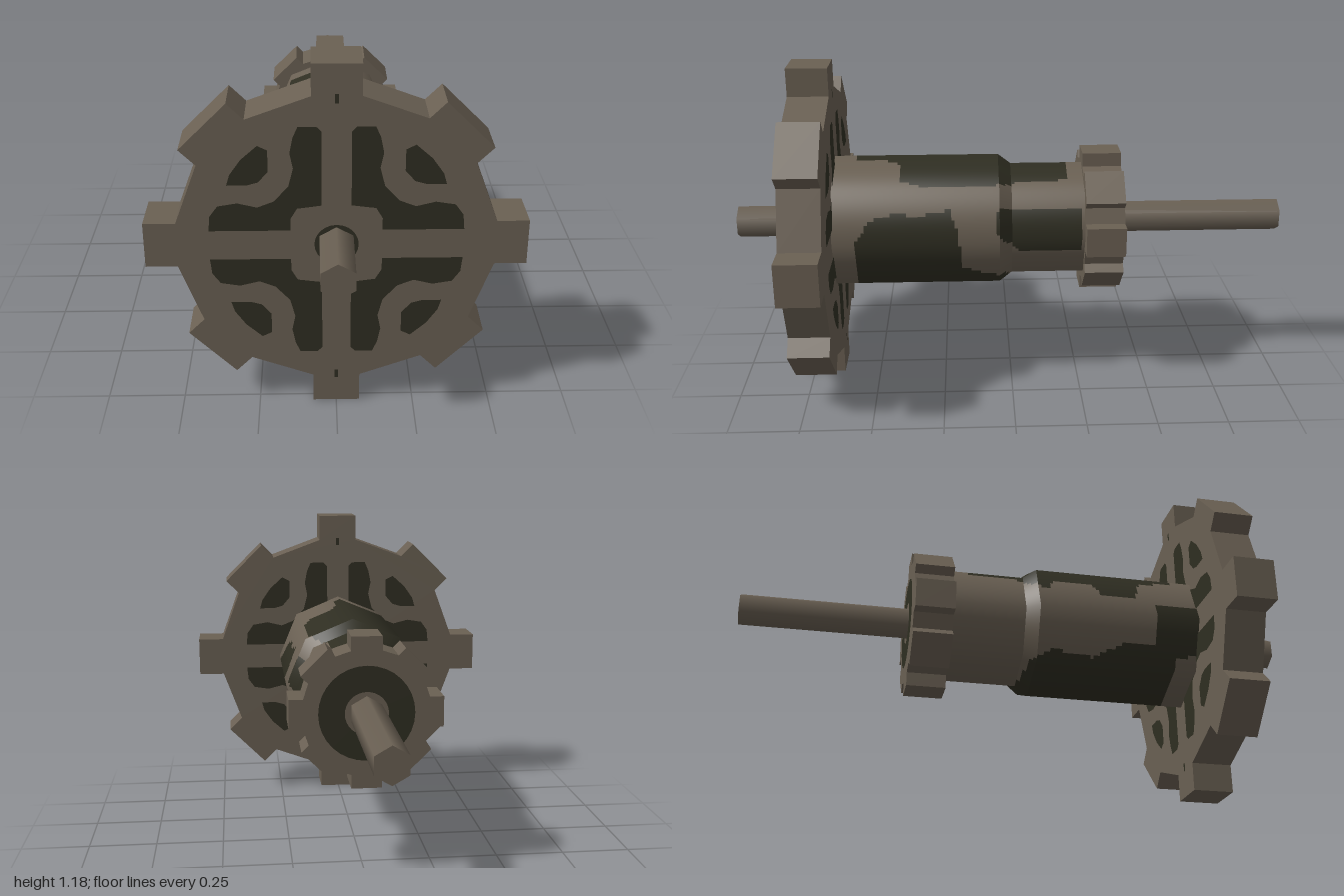
import * as THREE from 'three';

const CY = 0.59; // height of the axle
const brown = new THREE.MeshStandardMaterial({ color: 0x6a6053 });
brown.name = 'worn brown metal';
const dark = new THREE.MeshStandardMaterial({ color: 0x2f2e22 });
dark.name = 'dark green paint';

function add(group, name, geometry, material) {
  const mesh = new THREE.Mesh(geometry, material);
  mesh.name = name;
  group.add(mesh);
  return mesh;
}

// Eight-toothed outline; teeth alternate between two [root, tip, half width] sizes
function gear(straight, diagonal, depth) {
  const pts = [];
  for (let i = 0; i < 8; i++) {
    const [root, tip, w] = i % 2 ? diagonal : straight;
    const a = (i * Math.PI) / 4;
    for (const [r, s] of [[root, -w], [tip, -w], [tip, w], [root, w]]) {
      pts.push(new THREE.Vector2(r * Math.cos(a) - s * Math.sin(a), r * Math.sin(a) + s * Math.cos(a)));
    }
  }
  return new THREE.ExtrudeGeometry(new THREE.Shape(pts), { depth, bevelEnabled: false });
}

// Painted quarter of the large wheel: a bent arm and a wedge
const ARM = [[.045, .38], [.06, .395], [.115, .395], [.13, .36], [.14, .31], [.13, .26], [.145, .2],
  [.19, .15], [.24, .13], [.3, .145], [.36, .135], [.385, .1], [.39, .05], [.14, .05], [.14, .09],
  [.12, .125], [.045, .135]];
const WEDGE = [[.205, .32], [.235, .335], [.285, .29], [.32, .24], [.33, .205], [.27, .205],
  [.235, .215], [.205, .25]];

function wheelPaint() {
  const face = new THREE.Group();
  for (const sx of [1, -1]) for (const sy of [1, -1]) for (const outline of [ARM, WEDGE]) {
    const shape = new THREE.Shape(outline.map(([x, y]) => new THREE.Vector2(x * sx, y * sy)));
    add(face, outline === ARM ? 'paintedArm' : 'paintedWedge', new THREE.ShapeGeometry(shape), dark);
  }
  for (const s of [1, -1]) {
    add(face, 'paintedTick', new THREE.PlaneGeometry(.012, .03).translate(0, s * .483, 0), dark);
  }
  add(face, 'paintedHubRing', new THREE.RingGeometry(.04, .068, 24), dark);
  return face;
}

// Paint patches on the drum as [u, z]; u counts octagon corners from the top towards +x
const PATCHES = [
  // top
  [[-1.1, -.2], [.6, -.2], [.62, -.1], [.66, -.02], [.85, .03], [.96, .1], [.93, .25], [.96, .3],
    [.74, .4], [.28, .4], [.17, .45], [.11, .555], [-1.05, .555], [-1.15, .43], [-1.6, .4], [-1.6, .28],
    [-1.3, .25], [-1.3, .1], [-1.55, .08], [-1.2, 0], [-1.1, -.02]],
  // side and underside
  [[2, .56], [1.55, .5], [1.43, .4], [1.5, .35], [1.38, .22], [1.83, .19], [2.6, .18], [2.75, .11],
    [2.85, .03], [3.1, 0], [4, 0], [5, .03], [5.2, .1], [5.1, .25], [5.4, .35], [5.4, .48],
    [6.3, .48], [6.3, .64], [5.3, .64], [5.2, .56]],
  // narrow end
  [[1.4, .06], [1.34, -.08], [1.34, -.25], [2.33, -.25], [2.33, -.02], [2.13, 0], [1.87, .05]],
];

function inside(u, z, poly) {
  let hit = false;
  for (let i = 0, j = poly.length - 1; i < poly.length; j = i++) {
    const [a, b] = poly[i], [c, d] = poly[j];
    if ((b > z) !== (d > z) && u < ((c - a) * (z - b)) / (d - b) + a) hit = !hit;
  }
  return hit;
}
const isPainted = (u, z) => PATCHES.some((p) => inside(u, z, p) || inside(u - 8, z, p));

// Octagonal stepped drum, cut into small cells sorted by colour
function drum(group) {
  const profile = [[-.26, .215], [0, .215], [.045, .25], [.635, .25]];
  const data = { plain: { p: [], n: [] }, painted: { p: [], n: [] } };
  const perSide = 14;
  const corner = (i) => [Math.sin((i * Math.PI) / 4), Math.cos((i * Math.PI) / 4)];
  const around = (u) => {
    const i = Math.floor(u), f = u - i, a = corner(i), b = corner(i + 1);
    return [a[0] + (b[0] - a[0]) * f, a[1] + (b[1] - a[1]) * f];
  };
  for (let k = 0; k < 3; k++) {
    const [z0, r0] = profile[k], [z1, r1] = profile[k + 1];
    const rows = Math.ceil((z1 - z0) / .0115);
    const slope = -(r1 - r0) / (z1 - z0);
    const len = Math.hypot(1, slope);
    for (let j = 0; j < rows; j++) for (let c = 0; c < 8 * perSide; c++) {
      const t = [j / rows, (j + 1) / rows], u = [c / perSide, (c + 1) / perSide];
      const zMid = z0 + ((z1 - z0) * (j + .5)) / rows;
      const out = isPainted((c + .5) / perSide, zMid) ? data.painted : data.plain;
      for (const [a, b] of [[0, 0], [0, 1], [1, 1], [0, 0], [1, 1], [1, 0]]) {
        const [x, y] = around(u[a]), [nx, ny] = corner(u[a]);
        const r = r0 + (r1 - r0) * t[b];
        out.p.push(x * r, y * r, z0 + (z1 - z0) * t[b]);
        out.n.push(nx / len, ny / len, slope / len);
      }
    }
  }
  for (const [key, material] of [['plain', brown], ['painted', dark]]) {
    const g = new THREE.BufferGeometry();
    g.setAttribute('position', new THREE.Float32BufferAttribute(data[key].p, 3));
    g.setAttribute('normal', new THREE.Float32BufferAttribute(data[key].n, 3));
    add(group, key + 'Drum', g, material);
  }
}

export function createModel() {
  const model = new THREE.Group();
  model.name = 'gearedAxle';
  const axle = new THREE.Group();
  axle.name = 'axleAssembly';
  axle.position.y = CY;
  model.add(axle);

  // Hexagonal shaft through everything
  add(axle, 'shaft', new THREE.CylinderGeometry(.06, .06, 2, 6).rotateX(Math.PI / 2), brown);

  // Large wheel with paint on both faces
  add(axle, 'largeGear', gear([.49, .59, .075], [.487, .559, .104], .145), brown).position.z = .635;
  const front = wheelPaint();
  front.name = 'frontWheelPaint';
  front.position.z = .783;
  const back = wheelPaint();
  back.name = 'backWheelPaint';
  back.position.z = .632;
  back.rotation.y = Math.PI;
  axle.add(front, back);

  // Drum between the gears
  const body = new THREE.Group();
  body.name = 'drum';
  drum(body);
  axle.add(body);

  // Small gear with a painted ring on its back
  add(axle, 'smallGear', gear([.215, .264, .053], [.215, .25, .064], .14), brown).position.z = -.4;
  const ring = add(axle, 'smallGearPaint', new THREE.RingGeometry(.075, .165, 32), dark);
  ring.rotation.y = Math.PI;
  ring.position.z = -.403;

  return model;
}
